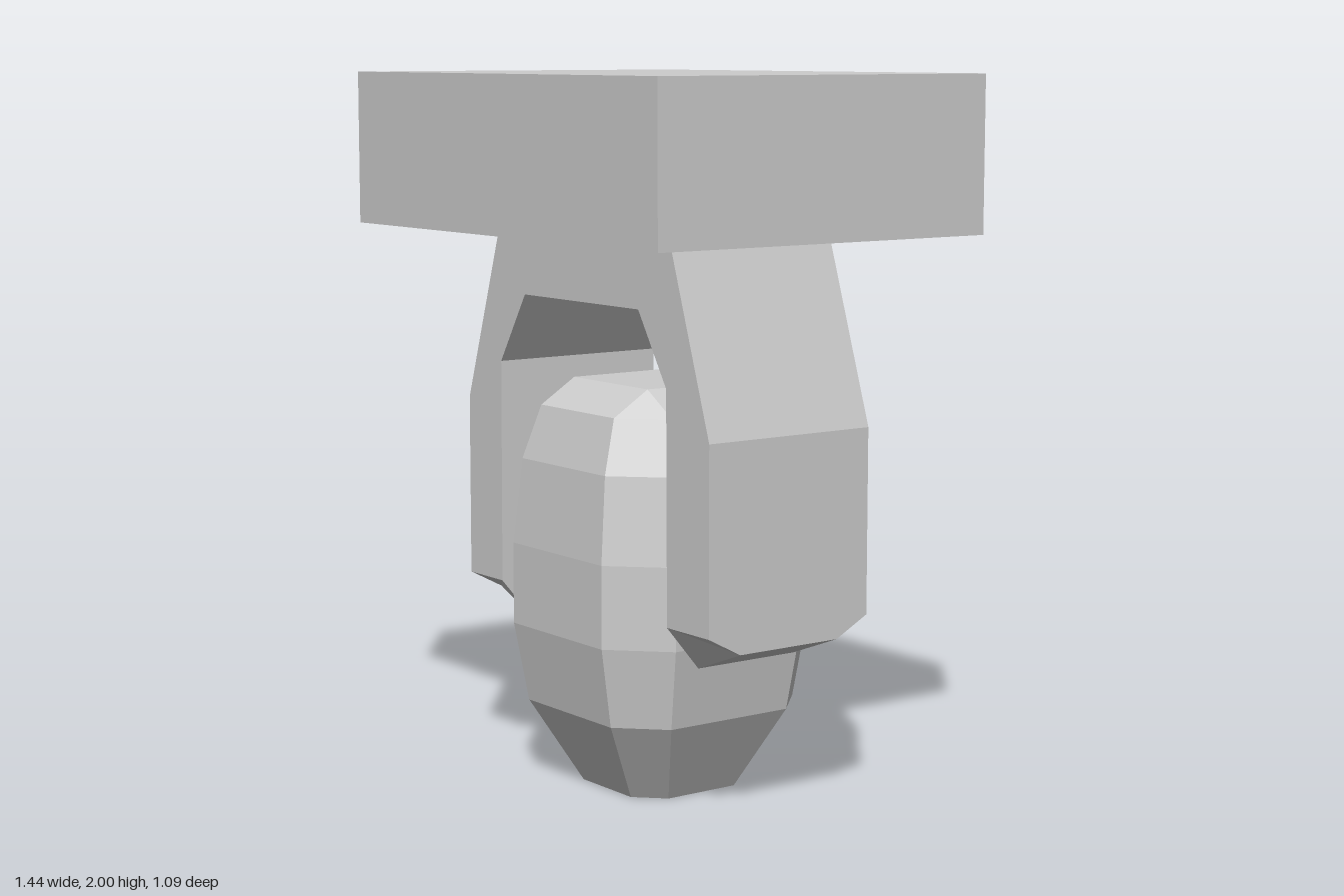
import * as THREE from 'three';

const material = new THREE.MeshStandardMaterial({ color: 0xcccccc, flatShading: true });

function addMesh(group, name, geometry) {
  const mesh = new THREE.Mesh(geometry, material);
  mesh.name = name;
  group.add(mesh);
  return mesh;
}

// Geometry from a list of corner points, three per triangle
function fromTriangles(points) {
  const geometry = new THREE.BufferGeometry().setFromPoints(points.map((p) => new THREE.Vector3(...p)));
  geometry.computeVertexNormals();
  return geometry;
}

// Square ring with cut corners: h = half width, c = half length of each flat side
function wheelRing([y, h, c]) {
  return [[c, h], [h, c], [h, -c], [c, -h], [-c, -h], [-h, -c], [-h, c], [-c, h]].map(([x, z]) => [x, y, z]);
}

function wheelGeometry() {
  const rings = [
    [0, 0.19, 0.115], [0.235, 0.318, 0.2], [0.46, 0.358, 0.215], [0.69, 0.358, 0.215],
    [0.93, 0.335, 0.2], [1.08, 0.287, 0.175], [1.15, 0.175, 0.175],
  ].map(wheelRing);
  const points = [];
  for (let r = 0; r < rings.length - 1; r++) {
    const low = rings[r], high = rings[r + 1];
    for (let i = 0; i < 8; i++) {
      const j = (i + 1) % 8;
      points.push(low[i], low[j], high[j]);
      // The corners close to a single point at the top
      if (r < rings.length - 2 || i % 2 === 1) points.push(low[i], high[j], high[i]);
    }
  }
  // Flat bottom and square top
  const bottom = rings[0], top = rings[rings.length - 1];
  for (let i = 1; i < 7; i++) points.push(bottom[0], bottom[i + 1], bottom[i]);
  points.push(top[0], top[2], top[4], top[0], top[4], top[6]);
  return fromTriangles(points);
}

// Tapered foot under one fork arm; outer and inner are x positions
function footGeometry(outer, inner) {
  const points = [];
  const tri = (a, b, c, flip) => points.push(...(flip ? [a, c, b] : [a, b, c]));
  const left = outer > 0;
  const corners = (s) => ({
    ot: [outer, 0.54, 0.27 * s], it: [inner, 0.54, 0.27 * s],
    ob: [outer, 0.485, 0.165 * s], ib: [inner, 0.415, 0.165 * s],
  });
  const f = corners(1), b = corners(-1);
  // Sloping front and back
  for (const [k, flip] of [[f, !left], [b, left]]) {
    tri(k.it, k.ob, k.ot, flip);
    tri(k.it, k.ib, k.ob, flip);
  }
  // Outer side, inner side and slanted underside
  for (const [p, q, r, s] of [
    [f.ot, f.ob, b.ob, b.ot],
    [f.it, b.it, b.ib, f.ib],
    [f.ob, f.ib, b.ib, b.ob],
  ]) {
    tri(p, q, r, !left);
    tri(p, r, s, !left);
  }
  return fromTriangles(points);
}

export function createModel() {
  const model = new THREE.Group();
  model.name = 'caster';

  // Mounting block
  addMesh(model, 'mountingBlock', new THREE.BoxGeometry(1.443, 0.43, 1.085)).position.y = 1.785;

  // Fork: an arch profile with two arms
  const fork = new THREE.Group();
  fork.name = 'fork';
  const profile = new THREE.Shape([
    [-0.407, 1.57], [-0.575, 1.06], [-0.575, 0.54], [-0.408, 0.54], [-0.405, 1.18], [-0.28, 1.38],
    [0.263, 1.38], [0.388, 1.18], [0.392, 0.54], [0.575, 0.54], [0.575, 1.055], [0.403, 1.57],
  ].map(([x, y]) => new THREE.Vector2(x, y)));
  const arch = new THREE.ExtrudeGeometry(profile, { depth: 0.54, bevelEnabled: false });
  arch.translate(0, 0, -0.27);
  addMesh(fork, 'forkArch', arch);
  addMesh(fork, 'leftFoot', footGeometry(0.575, 0.392));
  addMesh(fork, 'rightFoot', footGeometry(-0.575, -0.408));
  model.add(fork);

  // Faceted wheel between the arms
  addMesh(model, 'wheel', wheelGeometry());

  return model;
}
